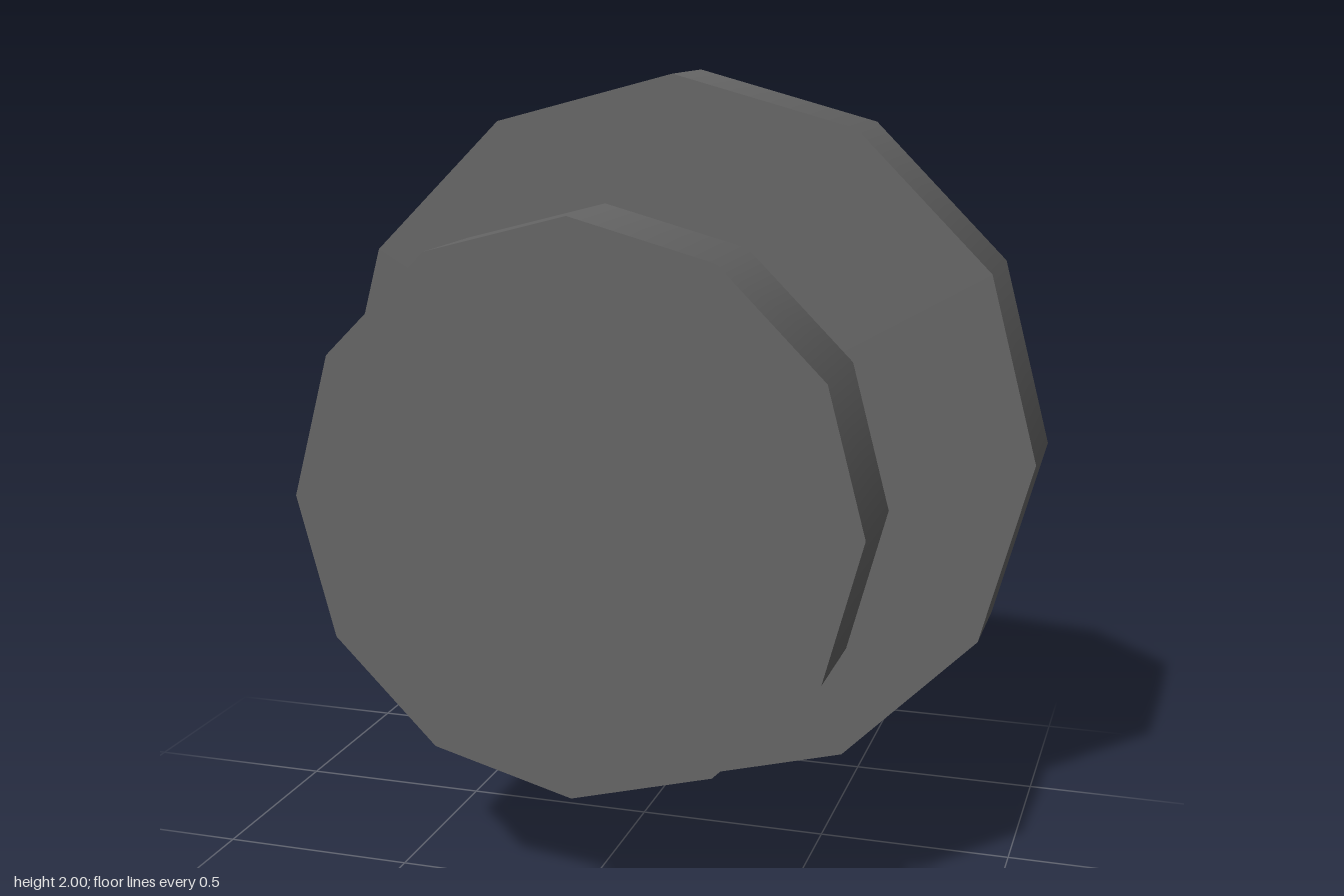
import * as THREE from 'three';

export function createModel() {
  const U = 2 / 7; // base unit: the large disc is 7 units across
  const Z_BACK = -1.875 * U; // rear face of the large disc
  const RING_DEPTH = 0.25 * U;

  const material = (name, color) => {
    const m = new THREE.MeshStandardMaterial({ color });
    m.name = name;
    return m;
  };
  const grey = material('dark grey', 0x666666);
  const yellow = material('yellow', 0xdddd22);
  const gold = material('gold', 0xddb411);
  const orange = material('orange', 0xdd8811);

  const model = new THREE.Group();
  model.name = 'nozzleUnit';
  const add = (parent, name, geometry, mat) => {
    const mesh = new THREE.Mesh(geometry, mat);
    mesh.name = name;
    parent.add(mesh);
    return mesh;
  };

  // Twelve-sided body, stacked along z
  const drum = (name, radius, depth, z) => {
    const g = new THREE.CylinderGeometry(radius, radius, depth, 12);
    g.rotateX(Math.PI / 2);
    add(model, name, g, grey).position.set(0, 1, z);
  };
  drum('rearDisc', 3.5 * U, U, Z_BACK + 0.5 * U);
  drum('shaft', U, 2 * U, Z_BACK + 2 * U);
  drum('frontDisc', 2.5 * U, U, Z_BACK + 3.5 * U);

  // Octagonal wall running rearwards from z = 0; inward walls reverse the profile
  const wall = (radius, inward) => {
    const points = [new THREE.Vector2(radius, 0), new THREE.Vector2(radius, RING_DEPTH)];
    if (inward) points.reverse();
    return new THREE.LatheGeometry(points, 8).rotateX(-Math.PI / 2);
  };
  const outerWall = wall(U, false);
  const innerWall = wall(0.75 * U, true);
  const rim = new THREE.RingGeometry(0.75 * U, U, 8).rotateY(Math.PI).translate(0, 0, -RING_DEPTH);

  // Six nozzle rings around the rear face
  for (let i = 0; i < 6; i++) {
    const a = (i * Math.PI) / 3;
    const ring = new THREE.Group();
    ring.name = 'nozzleRing' + (i + 1);
    ring.position.set(-Math.sin(a) * 2 * U, 1 + Math.cos(a) * 2 * U, Z_BACK);
    ring.rotation.z = a;
    add(ring, 'ringOuterWall', outerWall, yellow);
    add(ring, 'ringInnerWall', innerWall, orange);
    add(ring, 'ringRim', rim, gold);
    model.add(ring);
  }

  // Flat cross painted in the middle of the rear face
  const plate = (name, w, h, x, y, mat) => {
    const g = new THREE.PlaneGeometry(w * U, h * U).rotateY(Math.PI);
    add(model, name, g, mat).position.set(x * U, 1 + y * U, Z_BACK - 0.003);
  };
  plate('crossCentre', 1, 1, 0, 0, gold);
  plate('crossTop', 1, 0.5, 0, 0.75, yellow);
  plate('crossLeft', 0.5, 1, 0.75, 0, yellow);
  plate('crossBottom', 1, 0.5, 0, -0.75, orange);
  plate('crossRight', 0.5, 1, -0.75, 0, orange);

  return model;
}
